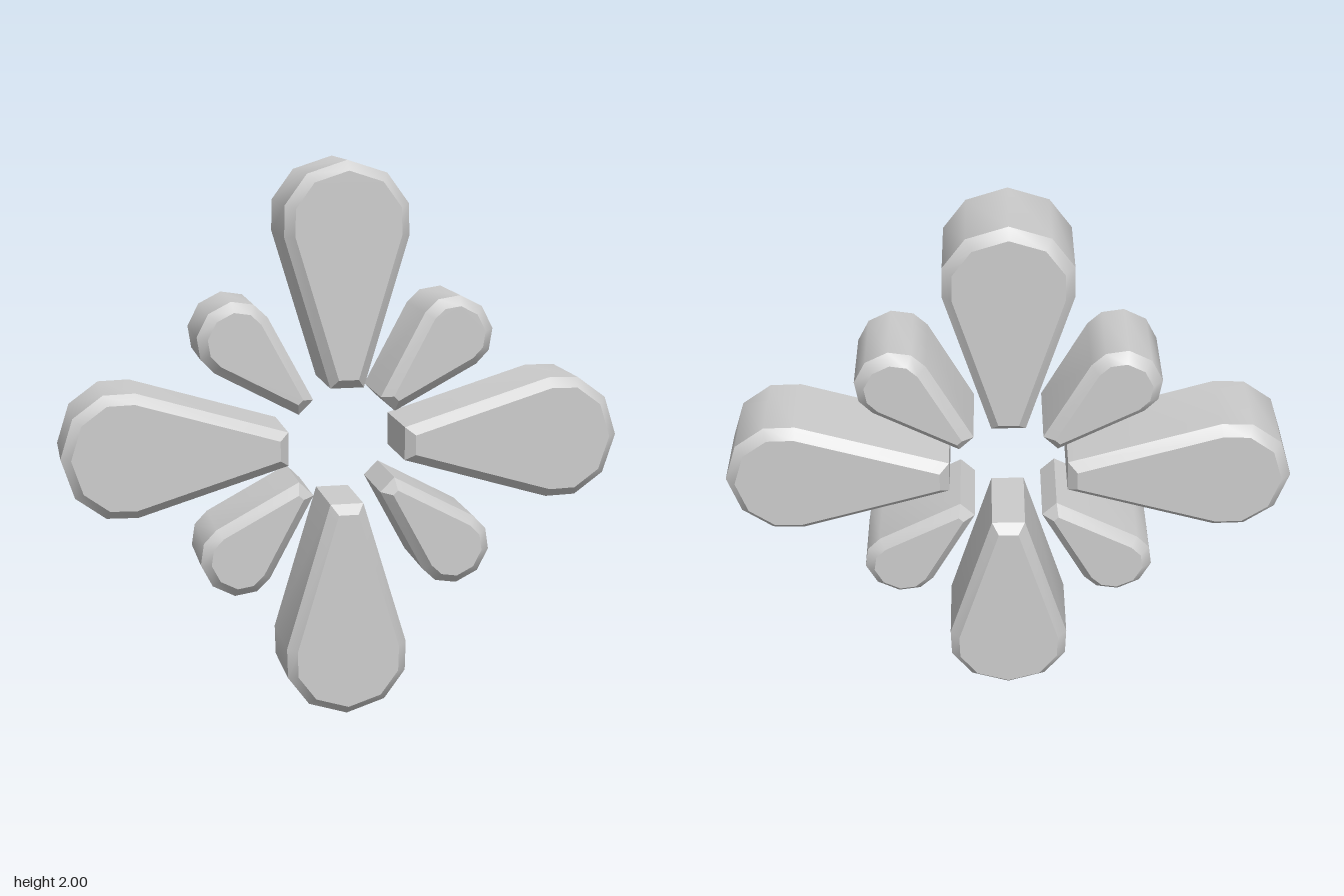
import * as THREE from 'three';
import { toCreasedNormals } from 'three/addons/utils/BufferGeometryUtils.js';

const BEVEL = 0.033, THICKNESS = 0.334;

// Half outline of a petal: [half width, distance back from the outer tip]
const PROFILE = [[0.14, 0.045], [0.217, 0.15], [0.22, 0.26], [0.06, 0.79]];

// Chamfered teardrop slab pointing along +y, its tip at the given radius
function petalGeometry(tip, scale) {
  const right = PROFILE.map(([w, d]) => new THREE.Vector2(w * scale, tip - d * scale));
  const left = right.map(p => new THREE.Vector2(-p.x, p.y)).reverse();
  const shape = new THREE.Shape([new THREE.Vector2(0, tip), ...right, ...left]);
  const geometry = new THREE.ExtrudeGeometry(shape, {
    depth: THICKNESS - 2 * BEVEL,
    bevelSegments: 1,
    bevelThickness: BEVEL,
    bevelSize: BEVEL,
    bevelOffset: -BEVEL,
  });
  geometry.translate(0, 0, BEVEL - THICKNESS / 2);
  // smooth round the outline, sharp at the chamfers and inner corners
  return toCreasedNormals(geometry, THREE.MathUtils.degToRad(40));
}

export function createModel() {
  const model = new THREE.Group();
  model.name = 'flowerOrnament';
  const material = new THREE.MeshStandardMaterial({ color: 0xcccccc });
  const large = petalGeometry(1, 1);
  const small = petalGeometry(0.686, 0.605);

  // Large petals on the axes, small ones on the diagonals
  for (let i = 0; i < 8; i++) {
    const isLarge = i % 2 === 0;
    const petal = new THREE.Mesh(isLarge ? large : small, material);
    petal.name = (isLarge ? 'largePetal' : 'smallPetal') + (Math.floor(i / 2) + 1);
    petal.position.y = 1;
    petal.rotation.z = i * Math.PI / 4;
    model.add(petal);
  }
  return model;
}
